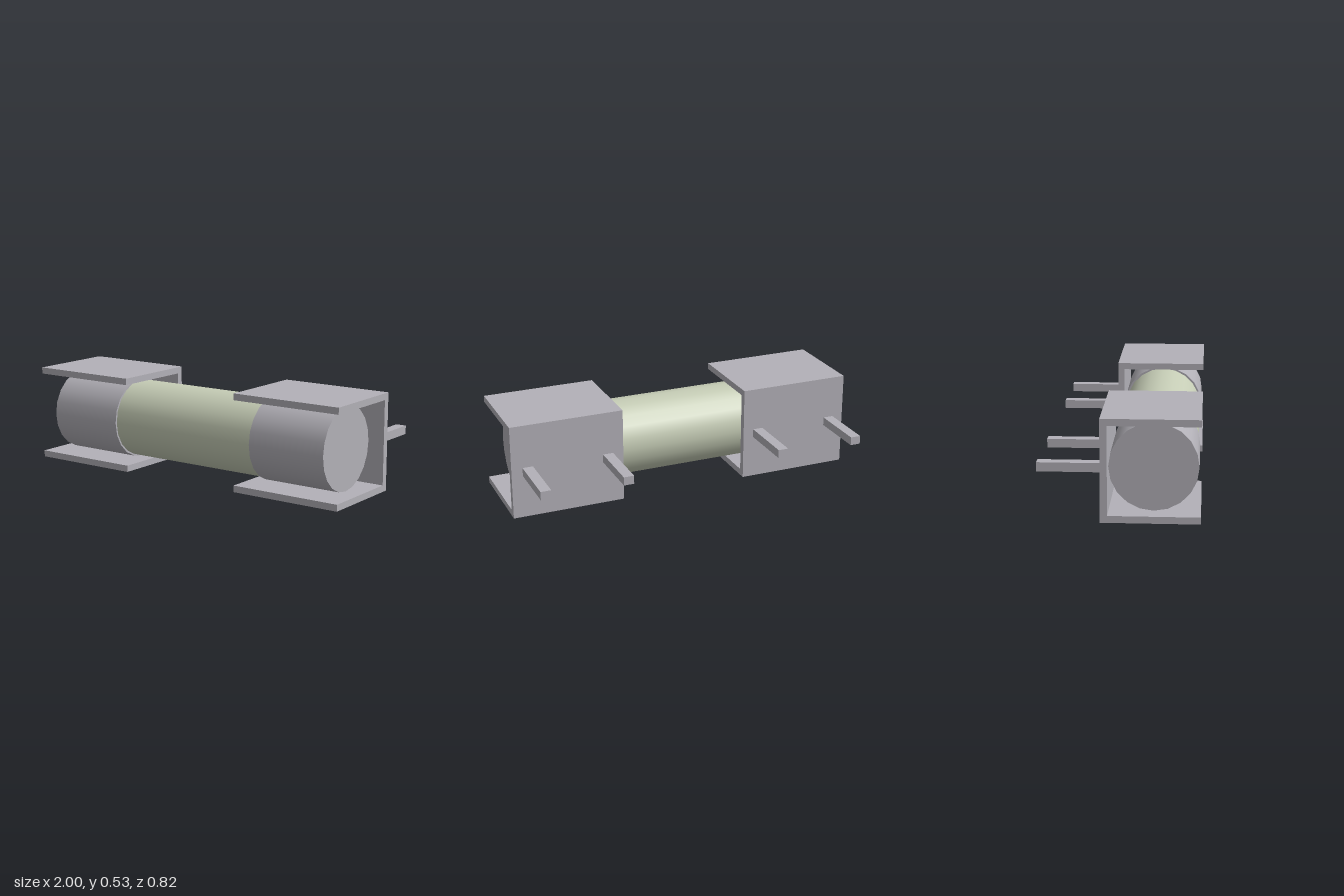
import * as THREE from 'three';

const metal = new THREE.MeshStandardMaterial({ color: 0xb3b1b8 });
metal.name = 'grey metal';
const glass = new THREE.MeshStandardMaterial({ color: 0xc6cdb6 });
glass.name = 'pale green glass';

const AXIS_Y = 0.265, AXIS_Z = 0.173;

function add(parent, name, geometry, material, x = 0, y = 0, z = 0) {
  const mesh = new THREE.Mesh(geometry, material);
  mesh.name = name;
  mesh.position.set(x, y, z);
  parent.add(mesh);
  return mesh;
}

// Cylinder lying along x
function rod(radius, length) {
  return new THREE.CylinderGeometry(radius, radius, length, 20).rotateZ(Math.PI / 2);
}

// C-shaped clip, open to the front, extruded along x and centred on it
function clipGeometry(width) {
  const back = -0.09, front = 0.41, top = 0.53, t = 0.036;
  const shape = new THREE.Shape([
    [back, 0], [front, 0], [front, t], [back + t, t],
    [back + t, top - t], [front, top - t], [front, top], [back, top],
  ].map(([z, y]) => new THREE.Vector2(z, y)));
  return new THREE.ExtrudeGeometry(shape, { depth: width, bevelEnabled: false })
    .rotateY(-Math.PI / 2).translate(width / 2, 0, 0);
}

export function createModel() {
  const model = new THREE.Group();
  model.name = 'fuse in holder';

  // Glass body between the two caps
  add(model, 'glassTube', rod(0.217, 0.94), glass, 0, AXIS_Y, AXIS_Z);

  const clip = clipGeometry(0.635);
  const cap = rod(0.227, 0.453);
  const pin = new THREE.BoxGeometry(0.058, 0.047, 0.32);

  for (const [side, s] of [['left', 1], ['right', -1]]) {
    const end = new THREE.Group();
    end.name = side + 'Terminal';
    add(end, side + 'Cap', cap, metal, s * 0.6815, AXIS_Y, AXIS_Z);
    add(end, side + 'Clip', clip, metal, s * 0.6825, 0, 0);
    // Two solder pins at the back
    add(end, side + 'InnerPin', pin, metal, s * 0.454, AXIS_Y, -0.25);
    add(end, side + 'OuterPin', pin, metal, s * 0.909, AXIS_Y, -0.25);
    model.add(end);
  }
  return model;
}
